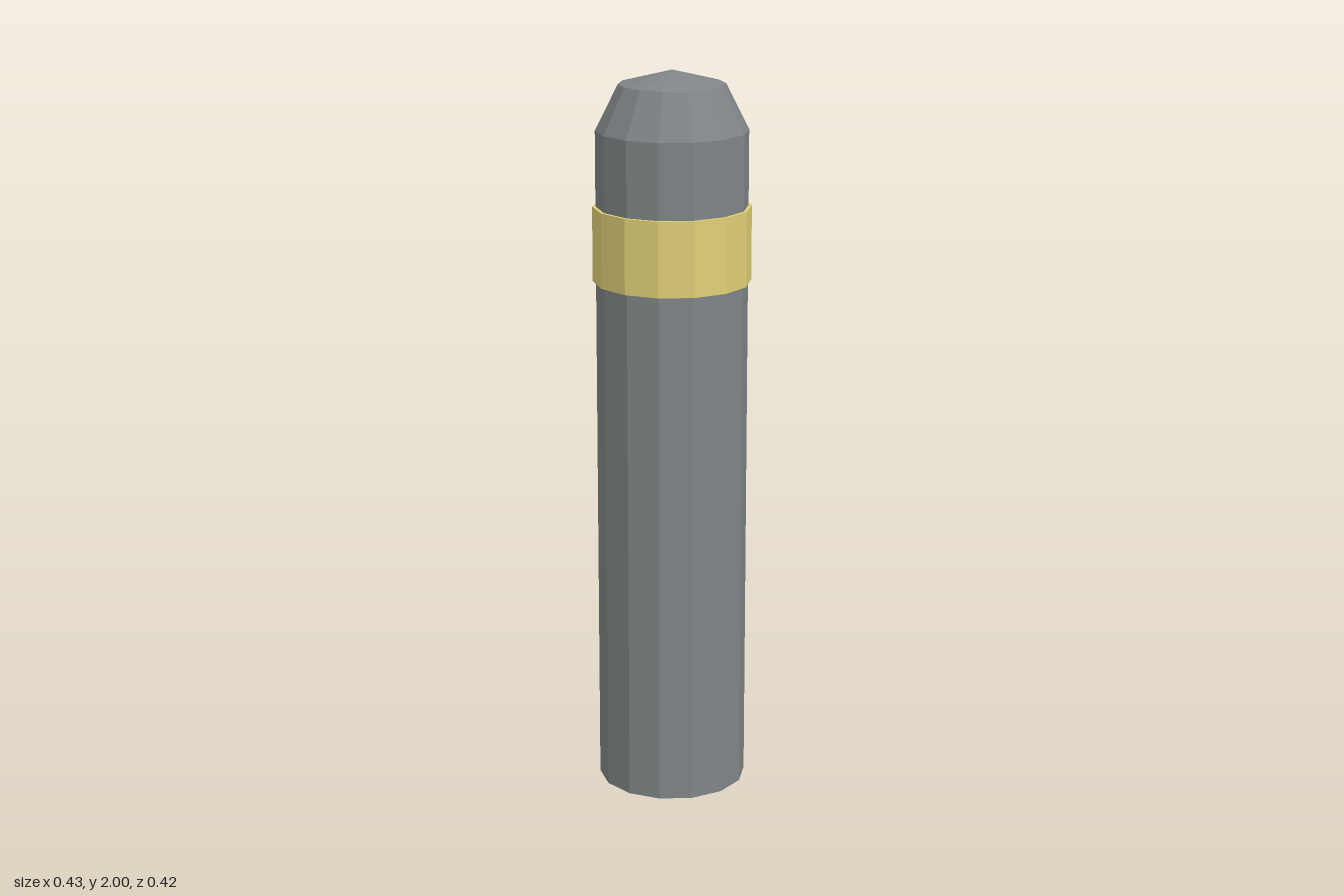
import * as THREE from 'three';

const SIDES = 14;

// Faceted ring section between two heights, with a corner on the +x axis
function section(name, material, rBottom, rTop, y0, y1, open) {
  const indexed = new THREE.CylinderGeometry(rTop, rBottom, y1 - y0, SIDES, 1, open, Math.PI / 2);
  const geometry = indexed.toNonIndexed();
  geometry.computeVertexNormals(); // flat facets
  const mesh = new THREE.Mesh(geometry, material);
  mesh.name = name;
  mesh.position.y = (y0 + y1) / 2;
  return mesh;
}

export function createModel() {
  const grey = new THREE.MeshStandardMaterial({ color: 0x7f8587 });
  grey.name = 'grey metal';
  const yellow = new THREE.MeshStandardMaterial({ color: 0xe0cf76 });
  yellow.name = 'pale yellow';

  const group = new THREE.Group();
  group.name = 'bollard';
  group.add(
    section('post', grey, 0.205, 0.205, 0, 1.84, false),
    section('shoulder', grey, 0.205, 0.143, 1.84, 1.963, true),
    section('cap', grey, 0.143, 0, 1.963, 2, true),
    section('band', yellow, 0.214, 0.214, 1.432, 1.636, false),
  );
  return group;
}
